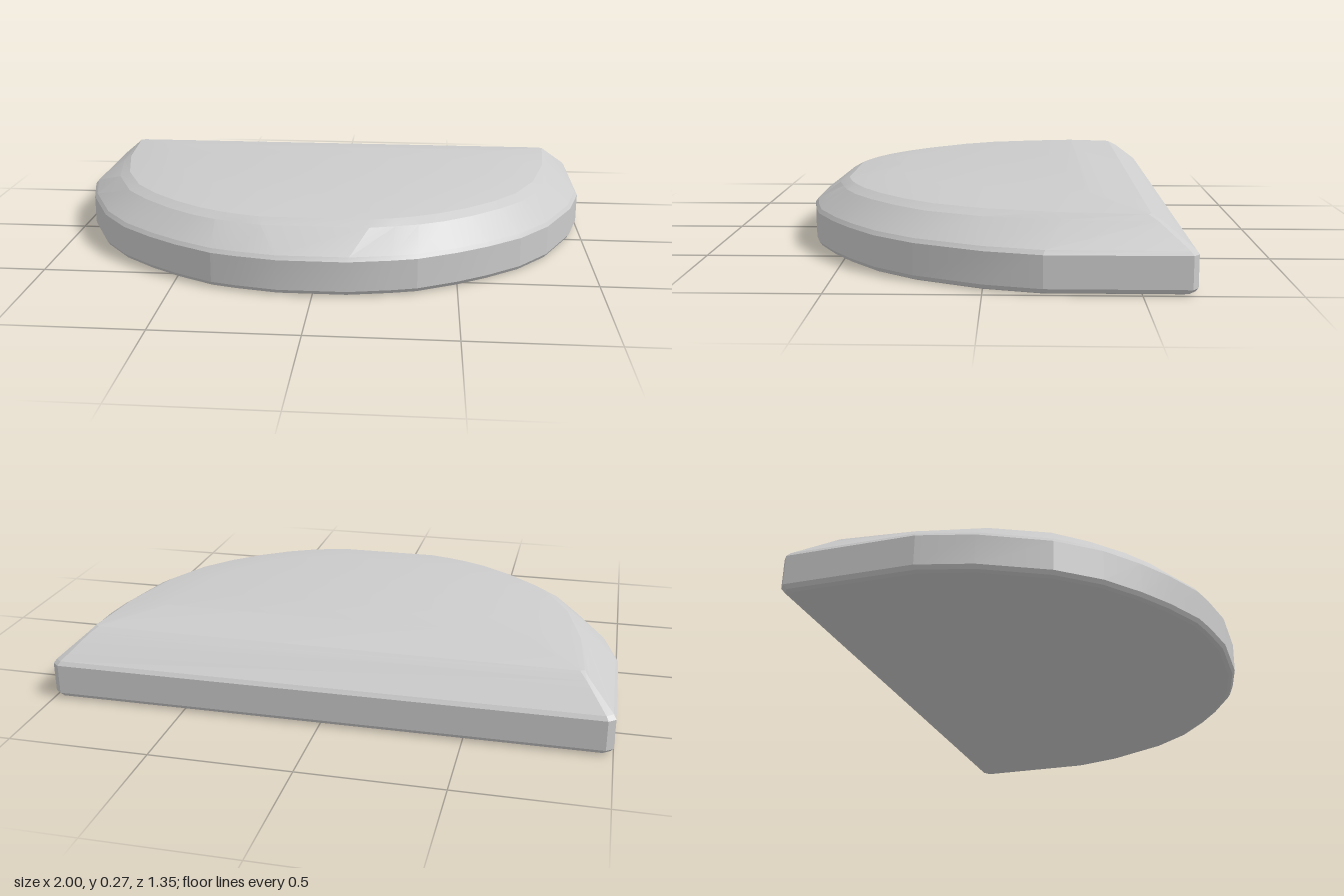
import * as THREE from 'three';
import { toCreasedNormals } from 'three/addons/utils/BufferGeometryUtils.js';

// Right-hand halves of the D-shaped outlines, [x, z], from back corner to front
const rim = [[0.975, -0.675], [1, -0.655], [1, -0.19], [0.95, 0], [0.84, 0.23], [0.73, 0.37],
  [0.61, 0.47], [0.5, 0.545], [0.36, 0.62], [0.27, 0.645], [0.12, 0.675]];
const shoulder = [[0.895, -0.57], [0.905, -0.555], [0.89, -0.25], [0.84, 0], [0.75, 0.195], [0.66, 0.3],
  [0.55, 0.4], [0.45, 0.47], [0.36, 0.515], [0.28, 0.54], [0.19, 0.565]];
const crown = [[0.87, -0.535], [0.885, -0.525], [0.86, -0.25], [0.8, 0], [0.72, 0.17], [0.63, 0.28],
  [0.53, 0.37], [0.43, 0.44], [0.34, 0.485], [0.27, 0.51], [0.19, 0.53]];
const plateau = [[0.67, -0.355], [0.68, -0.345], [0.65, -0.18], [0.6, 0], [0.53, 0.12], [0.46, 0.2],
  [0.38, 0.26], [0.3, 0.3], [0.22, 0.33], [0.15, 0.345], [0.07, 0.35]];

const blend = (a, b, t) => a.map(([x, z], i) => [x + (b[i][0] - x) * t, z + (b[i][1] - z) * t]);
const inset = (a, d) => a.map(([x, z]) => [x * (1 - d), z * (1 - d / 0.675)]);

// Mirror each half outline into a closed ring and skin the rings from bottom to top
function loft(layers) {
  const half = layers[0].outline.length, n = half * 2;
  const positions = [], index = [];
  for (const { y, outline } of layers) {
    for (const [x, z] of outline) positions.push(x, y, z);
    for (const [x, z] of [...outline].reverse()) positions.push(-x, y, z);
  }
  for (let k = 0; k < layers.length - 1; k++) {
    for (let i = 0; i < n; i++) {
      const a = k * n + i, b = k * n + (i + 1) % n;
      index.push(a, a + n, b, b, a + n, b + n);
    }
  }
  // Flat caps bridge each right point to its mirrored left point
  const top = (layers.length - 1) * n;
  for (let i = 0; i < half - 1; i++) {
    const r = i, r2 = i + 1, l = n - 1 - i, l2 = n - 2 - i;
    index.push(top + l, top + l2, top + r, top + r, top + l2, top + r2);
    index.push(l, r, l2, r, r2, l2);
  }
  const geometry = new THREE.BufferGeometry();
  geometry.setAttribute('position', new THREE.Float32BufferAttribute(positions, 3));
  geometry.setIndex(index);
  return toCreasedNormals(geometry, 0.2);
}

export function createModel() {
  const group = new THREE.Group();
  group.name = 'bevelledHalfRoundSlab';
  const slab = new THREE.Mesh(
    loft([
      { y: 0, outline: inset(rim, 0.025) },
      { y: 0.006, outline: inset(rim, 0.01) },
      { y: 0.02, outline: rim },
      { y: 0.128, outline: rim },
      { y: 0.142, outline: blend(rim, shoulder, 0.1) },
      { y: 0.217, outline: shoulder },
      { y: 0.236, outline: crown },
      { y: 0.267, outline: plateau },
    ]),
    new THREE.MeshStandardMaterial({ color: 0xcccccc }),
  );
  slab.name = 'slab';
  group.add(slab);
  return group;
}
